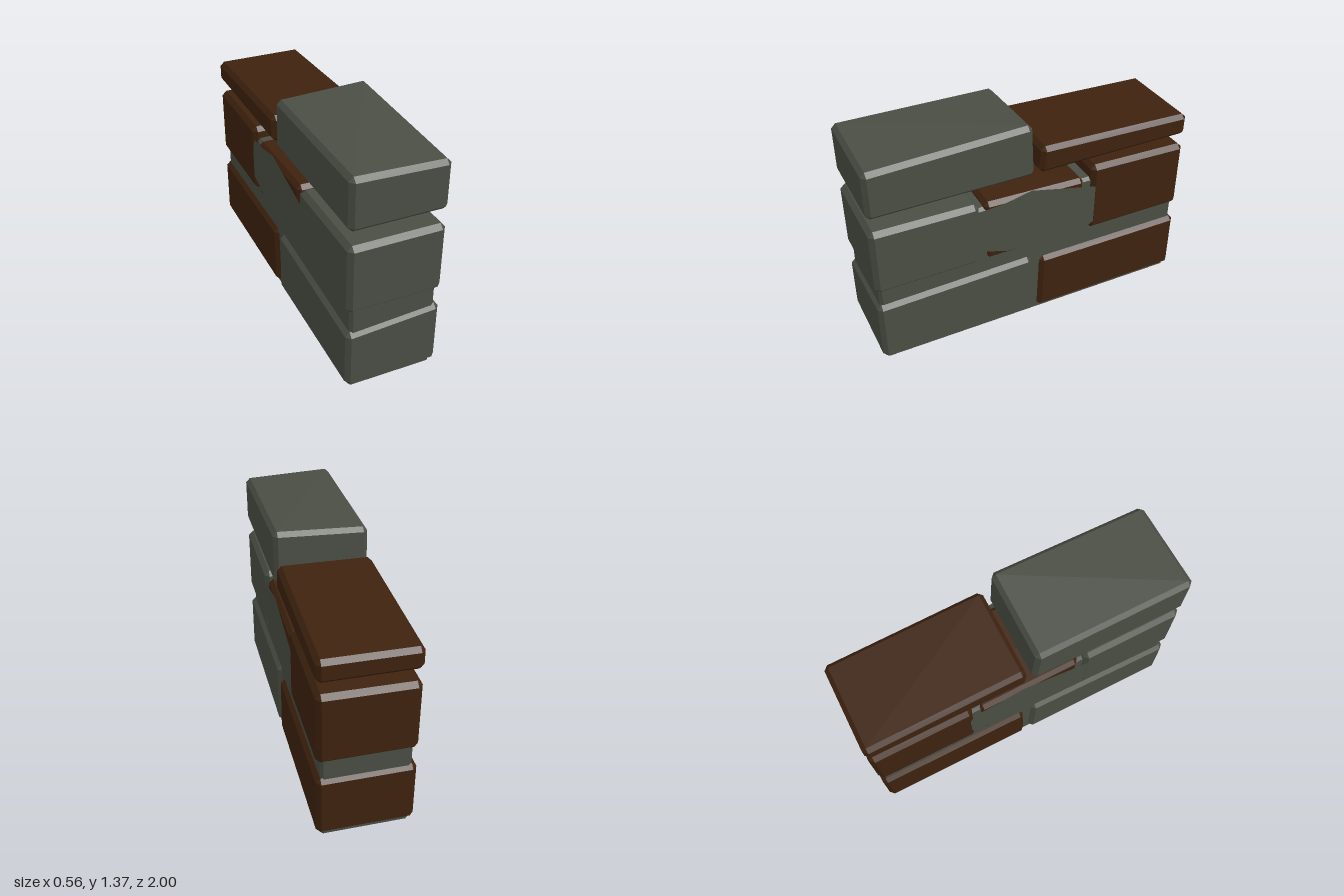
import * as THREE from 'three';
import { ConvexGeometry } from 'three/addons/geometries/ConvexGeometry.js';

const stone = new THREE.MeshStandardMaterial({ color: 0x4a4e44 });
stone.name = 'grey stone';
const brick = new THREE.MeshStandardMaterial({ color: 0x3e220e });
brick.name = 'brown brick';
const slab = new THREE.MeshStandardMaterial({ color: 0x4a4e44, side: THREE.DoubleSide });
slab.name = 'grey slab';

// Bevelled block between zBack and zFront. tops holds the four top heights:
// [-x front, +x front, -x back, +x back]; inner end leans in by lean.
function block(name, material, halfX, zBack, zFront, bottom, tops, bevel = 0.03, lean = 0) {
  const points = [];
  const middle = (zBack + zFront) / 2;
  for (const sx of [-1, 1]) {
    for (const sz of [-1, 1]) {
      for (const sy of [-1, 1]) {
        const top = tops[(sz > 0 ? 0 : 2) + (sx > 0 ? 1 : 0)];
        const x = sx * halfX;
        const y = sy > 0 ? top : bottom;
        let z = sz > 0 ? zFront : zBack;
        if (sy > 0 && z * sz < Math.abs(middle)) z -= sz * lean;
        // each corner is cut back along two axes at a time
        const [bx, by, bz] = [sx * bevel, sy * bevel, sz * bevel];
        points.push(
          new THREE.Vector3(x, y - by, z - bz),
          new THREE.Vector3(x - bx, y, z - bz),
          new THREE.Vector3(x - bx, y - by, z),
        );
      }
    }
  }
  const mesh = new THREE.Mesh(new ConvexGeometry(points), material);
  mesh.name = name;
  return mesh;
}

// Flat irregular plaster patch lying on a long side of the wall
function patch(name) {
  const outline = [
    [0.46, 0.65], [0.35, 0.9], [0.21, 0.91], [0.04, 0.947], [-0.41, 0.84],
    [-0.45, 0.62], [-0.28, 0.54], [0.2, 0.565],
  ];
  const shape = new THREE.Shape(outline.map(([z, y]) => new THREE.Vector2(-z, y)));
  const geometry = new THREE.ShapeGeometry(shape);
  geometry.rotateY(Math.PI / 2);
  geometry.translate(0.279, 0, 0);
  const mesh = new THREE.Mesh(geometry, slab);
  mesh.name = name;
  return mesh;
}

export function createModel() {
  const wall = new THREE.Group();
  wall.name = 'brickWall';

  // mortar core
  wall.add(block('core', stone, 0.255, -0.98, 0.98, 0, [0.9, 0.9, 0.9, 0.9], 0.018));

  // bottom course
  wall.add(block('bottomFrontBlock', stone, 0.28, 0.018, 1, 0.03, [0.395, 0.428, 0.44, 0.45], 0.026, 0.012));
  wall.add(block('bottomBackBlock', brick, 0.28, -1, -0.015, 0.03, [0.42, 0.42, 0.42, 0.42], 0.026, 0.012));

  // middle course
  wall.add(block('middleFrontBlock', stone, 0.28, 0.355, 1, 0.53, [0.952, 0.952, 0.945, 0.945], 0.028, 0.005));
  wall.add(block('middleCentreBlock', brick, 0.27, -0.315, 0.325, 0.53, [0.93, 0.932, 0.91, 0.915], 0.025));
  wall.add(block('middleBackBlock', brick, 0.28, -1, -0.355, 0.53, [0.97, 0.985, 0.965, 0.97], 0.028, 0.005));

  // top course
  wall.add(block('topFrontBlock', stone, 0.28, 0.018, 1, 1.04, [1.35, 1.333, 1.345, 1.367], 0.026, 0.012));
  wall.add(block('topBackBlock', brick, 0.28, -1, -0.015, 1.04, [1.2, 1.205, 1.175, 1.178], 0.026, 0.012));

  // plaster patches, one per long side, half a turn apart
  wall.add(patch('leftPatch'));
  const other = patch('rightPatch');
  other.rotation.y = Math.PI;
  wall.add(other);

  return wall;
}
